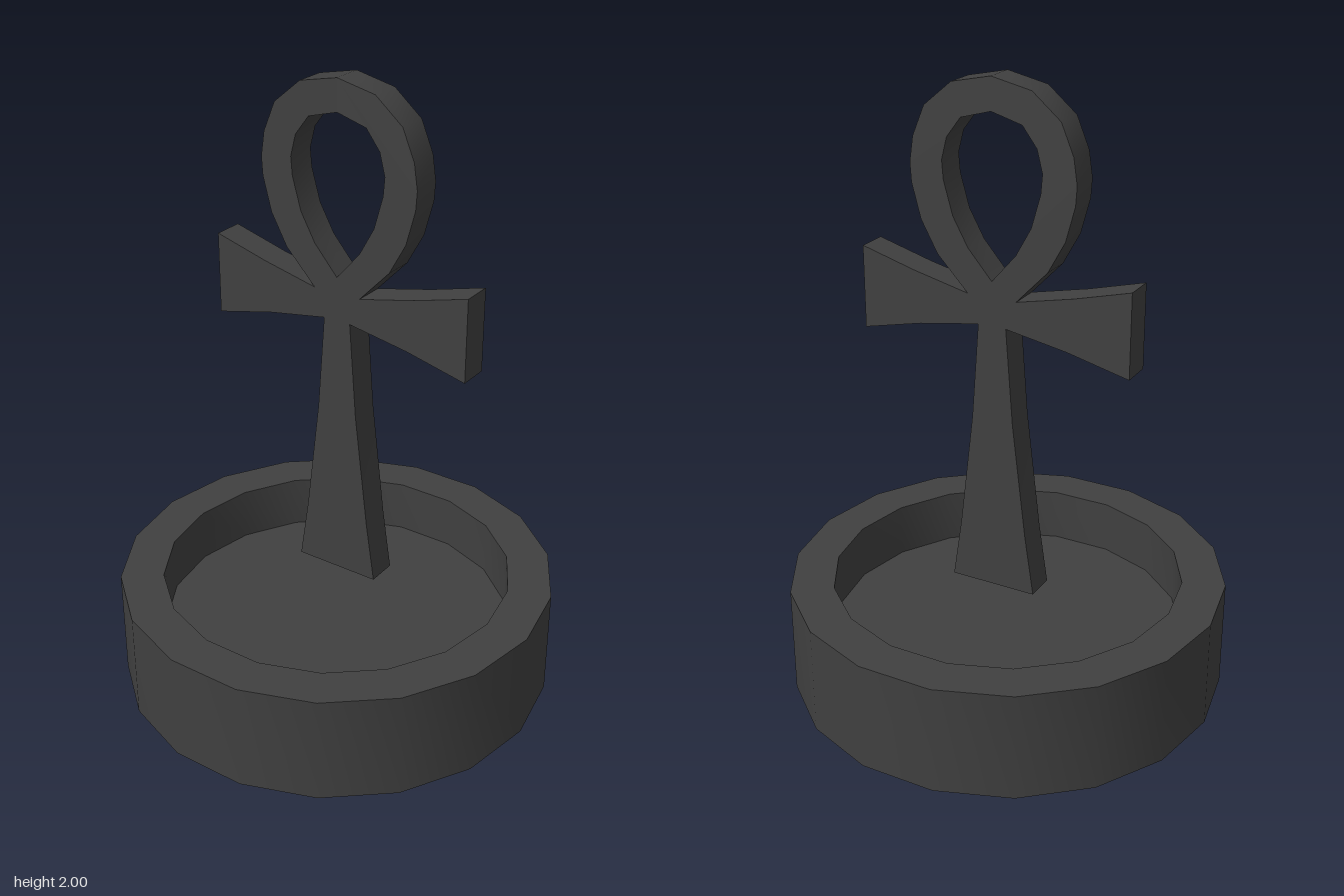
import * as THREE from 'three';
import { toCreasedNormals } from 'three/addons/utils/BufferGeometryUtils.js';

const CREASE = 0.6;

// Closes a right-hand outline that starts and ends near the axis with its mirror image.
function mirrored(half) {
  const left = half.filter(([x]) => x > 0).map(([x, y]) => [-x, y]).reverse();
  return [...half, ...left].map(([x, y]) => new THREE.Vector2(x, y));
}

export function createModel() {
  const model = new THREE.Group();
  const material = new THREE.MeshStandardMaterial({ color: 0x404040 });

  // Round dish: 18 sides, thick rim, sunken floor, with a corner on the x axis
  const dishProfile = [
    [0, 0], [0.71, 0], [0.71, 0.36], [0.57, 0.36], [0.57, 0.18], [0, 0.18],
  ].map(([r, y]) => new THREE.Vector2(r, y));
  const dish = new THREE.Mesh(
    toCreasedNormals(new THREE.LatheGeometry(dishProfile, 18, Math.PI / 2), CREASE),
    material,
  );
  dish.name = 'dishBase';
  model.add(dish);

  // Looped cross: tapered shaft, flared arms, teardrop loop
  const outline = [
    [0.145, 0.36], [0.115, 0.56], [0.07, 0.94], [0.047, 1.25], // shaft
    [0.25, 1.215], [0.452, 1.167], [0.452, 1.435], [0.27, 1.385], [0.082, 1.342], // arm
    [0.185, 1.45], [0.24, 1.55], [0.27, 1.66], [0.274, 1.72], // loop
    [0.262, 1.8], [0.222, 1.895], [0.13, 1.972], [0, 2],
  ];
  const opening = [
    [0, 1.393], [0.08, 1.485], [0.13, 1.575], [0.16, 1.68],
    [0.165, 1.74], [0.147, 1.81], [0.1, 1.872], [0, 1.9],
  ];
  const shape = new THREE.Shape(mirrored(outline));
  shape.holes.push(new THREE.Path(mirrored(opening)));
  const crossGeometry = new THREE.ExtrudeGeometry(shape, { depth: 0.1, bevelEnabled: false });
  crossGeometry.translate(0, 0, -0.1);
  const cross = new THREE.Mesh(toCreasedNormals(crossGeometry, CREASE), material);
  cross.name = 'loopedCross';
  model.add(cross);

  return model;
}
